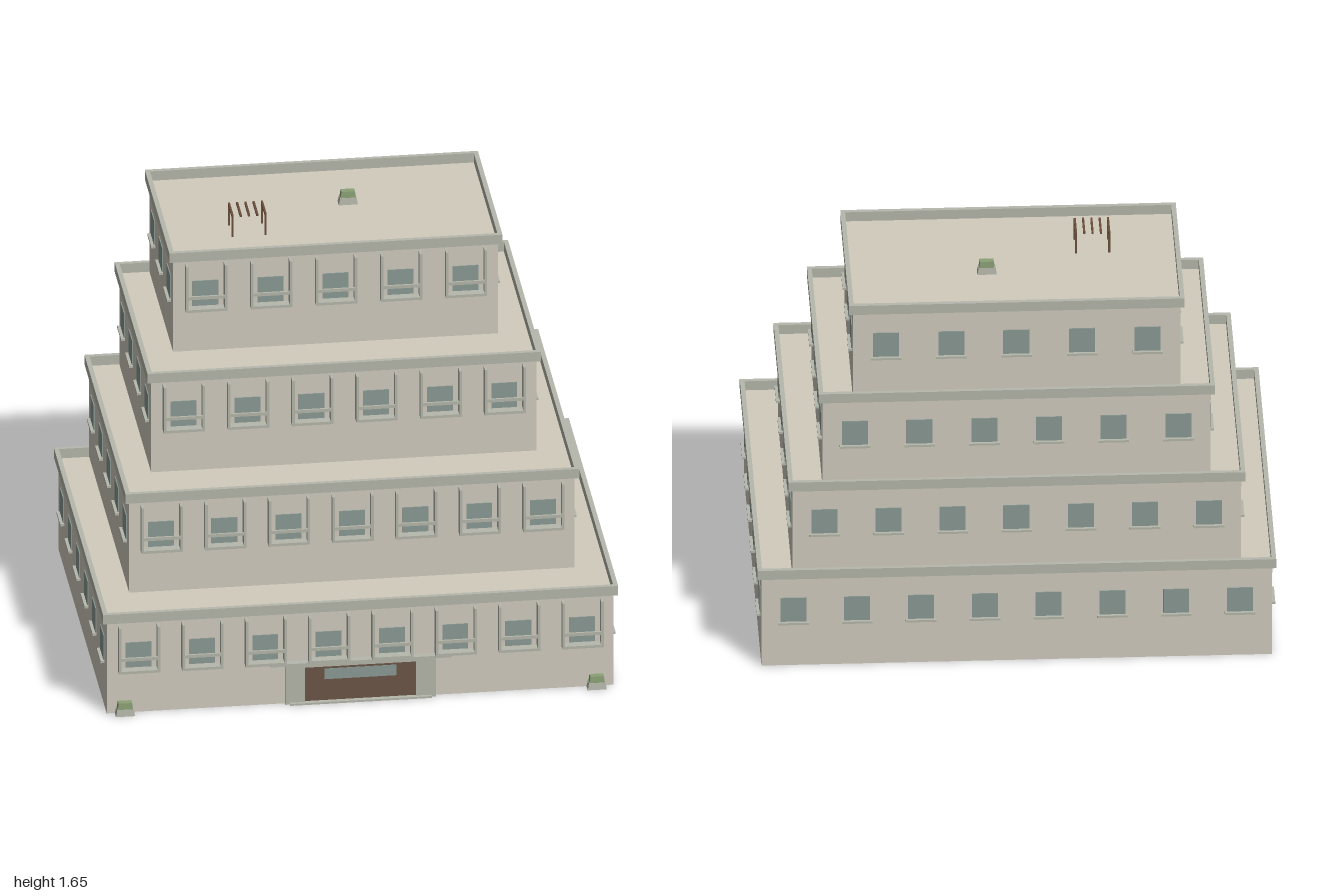
import * as THREE from 'three';

const mat = (color) => new THREE.MeshStandardMaterial({ color });
const WALL = mat(0xd2ccbe), TRIM = mat(0xb6b8ac), GLASS = mat(0x8a9a95);
const DOOR = mat(0x6b5545), WOOD = mat(0x6b4f3a), LEAF = mat(0x8aa075);

const BACK = -0.735, STOREY = 0.389;

function box(parent, name, material, w, h, d, x, y, z) {
  const m = new THREE.Mesh(new THREE.BoxGeometry(w, h, d), material);
  m.name = name;
  m.position.set(x, y, z);
  parent.add(m);
  return m;
}

// Box given by its bottom height, with the top face shrunk
function taperedBox(parent, name, material, w, h, d, y, scale) {
  const m = box(parent, name, material, w, h, d, 0, y + h / 2, 0);
  const p = m.geometry.attributes.position;
  for (let i = 0; i < p.count; i++) {
    if (p.getY(i) > 0) p.setXYZ(i, p.getX(i) * scale, p.getY(i), p.getZ(i) * scale);
  }
  m.geometry.computeVertexNormals();
}

function group(parent, name, x = 0, y = 0, z = 0) {
  const g = new THREE.Group();
  g.name = name;
  g.position.set(x, y, z);
  parent.add(g);
  return g;
}

// Window facing +z with its wall plane at z = 0
function addWindow(parent, x, balcony) {
  const g = group(parent, balcony ? 'balconyWindow' : 'window', x);
  box(g, 'glass', GLASS, 0.1, 0.106, 0.008, 0, 0.246, 0);
  if (!balcony) {
    box(g, 'sill', TRIM, 0.118, 0.009, 0.02, 0, 0.19, 0.006);
    return;
  }
  for (const s of [-1, 1]) box(g, 'balconyFin', TRIM, 0.01, 0.195, 0.038, s * 0.075, 0.278, 0.018);
  box(g, 'balconySlab', TRIM, 0.15, 0.011, 0.038, 0, 0.186, 0.018);
  box(g, 'balconyRail', TRIM, 0.15, 0.013, 0.008, 0, 0.241, 0.033);
}

// A row of windows on one wall, evenly spaced over its length
function addFacade(parent, name, length, count, x, z, angle, balcony) {
  const g = group(parent, name, x, 0, z);
  g.rotation.y = angle;
  const step = length / count;
  for (let i = 0; i < count; i++) addWindow(g, (i - (count - 1) / 2) * step, balcony);
}

function rect(target, w, d) {
  target.moveTo(-w / 2, -d / 2);
  target.lineTo(w / 2, -d / 2);
  target.lineTo(w / 2, d / 2);
  target.lineTo(-w / 2, d / 2);
  target.closePath();
  return target;
}

// Raised edge around a flat roof
function addParapet(parent, w, d, z) {
  const shape = rect(new THREE.Shape(), w + 0.032, d + 0.032);
  shape.holes.push(rect(new THREE.Path(), w - 0.004, d - 0.004));
  const geo = new THREE.ExtrudeGeometry(shape, { depth: 0.04, bevelEnabled: false });
  const m = new THREE.Mesh(geo.rotateX(-Math.PI / 2), TRIM);
  m.name = 'parapet';
  m.position.set(0, STOREY, z);
  parent.add(m);
}

function addPlanter(parent, x, y, z) {
  const g = group(parent, 'planter', x, y, z);
  taperedBox(g, 'planterBase', TRIM, 0.074, 0.028, 0.038, 0, 0.86);
  taperedBox(g, 'planting', LEAF, 0.06, 0.027, 0.03, 0.027, 0.88);
}

export function createModel() {
  const model = new THREE.Group();
  model.name = 'terracedBuilding';

  // Four storeys stepping back from the front
  const halfWidths = [0.983, 0.864, 0.747, 0.63];
  const fronts = [0.715, 0.467, 0.221, -0.026];
  halfWidths.forEach((hw, i) => {
    const tier = group(model, 'storey' + (i + 1), 0, i * STOREY, 0);
    const w = hw * 2, d = fronts[i] - BACK, zc = (fronts[i] + BACK) / 2;
    box(tier, 'walls', WALL, w, STOREY, d, 0, STOREY / 2, zc);
    addParapet(tier, w, d, zc);
    addFacade(tier, 'frontWindows', w, 8 - i, 0, fronts[i], 0, true);
    addFacade(tier, 'backWindows', w, 8 - i, 0, BACK, Math.PI, false);
    addFacade(tier, 'leftWindows', d, 6 - i, hw, zc, Math.PI / 2, false);
    addFacade(tier, 'rightWindows', d, 6 - i, -hw, zc, -Math.PI / 2, false);
  });

  // Entrance: frame around a wide door, canopy and step
  const entrance = group(model, 'entrance', 0, 0, fronts[0]);
  for (const s of [-1, 1]) box(entrance, 'doorJamb', TRIM, 0.077, 0.172, 0.016, s * 0.2535, 0.086, 0.006);
  box(entrance, 'doorHead', TRIM, 0.43, 0.018, 0.016, 0, 0.163, 0.006);
  box(entrance, 'door', DOOR, 0.432, 0.148, 0.01, 0, 0.081, 0.002);
  box(entrance, 'doorGlass', GLASS, 0.28, 0.045, 0.012, 0, 0.12, 0.003);
  box(entrance, 'canopy', TRIM, 0.7, 0.01, 0.03, 0, 0.175, 0.013);
  box(entrance, 'step', TRIM, 0.55, 0.008, 0.028, 0, 0.004, 0.012);

  // Planters beside the entrance and on the roof
  const roof = 4 * STOREY;
  for (const s of [-1, 1]) addPlanter(model, s * 0.915, 0, 0.734);
  addPlanter(model, 0.102, roof, -0.445);

  // Roof pergola
  const pergola = group(model, 'pergola', -0.312, roof, -0.26);
  for (const sx of [-1, 1]) {
    for (const sz of [-1, 1]) box(pergola, 'pergolaPost', WOOD, 0.008, 0.086, 0.008, sx * 0.064, 0.043, sz * 0.051);
  }
  for (let i = -2; i <= 2; i++) box(pergola, 'pergolaSlat', WOOD, 0.008, 0.009, 0.112, i * 0.032, 0.089, 0);

  return model;
}
